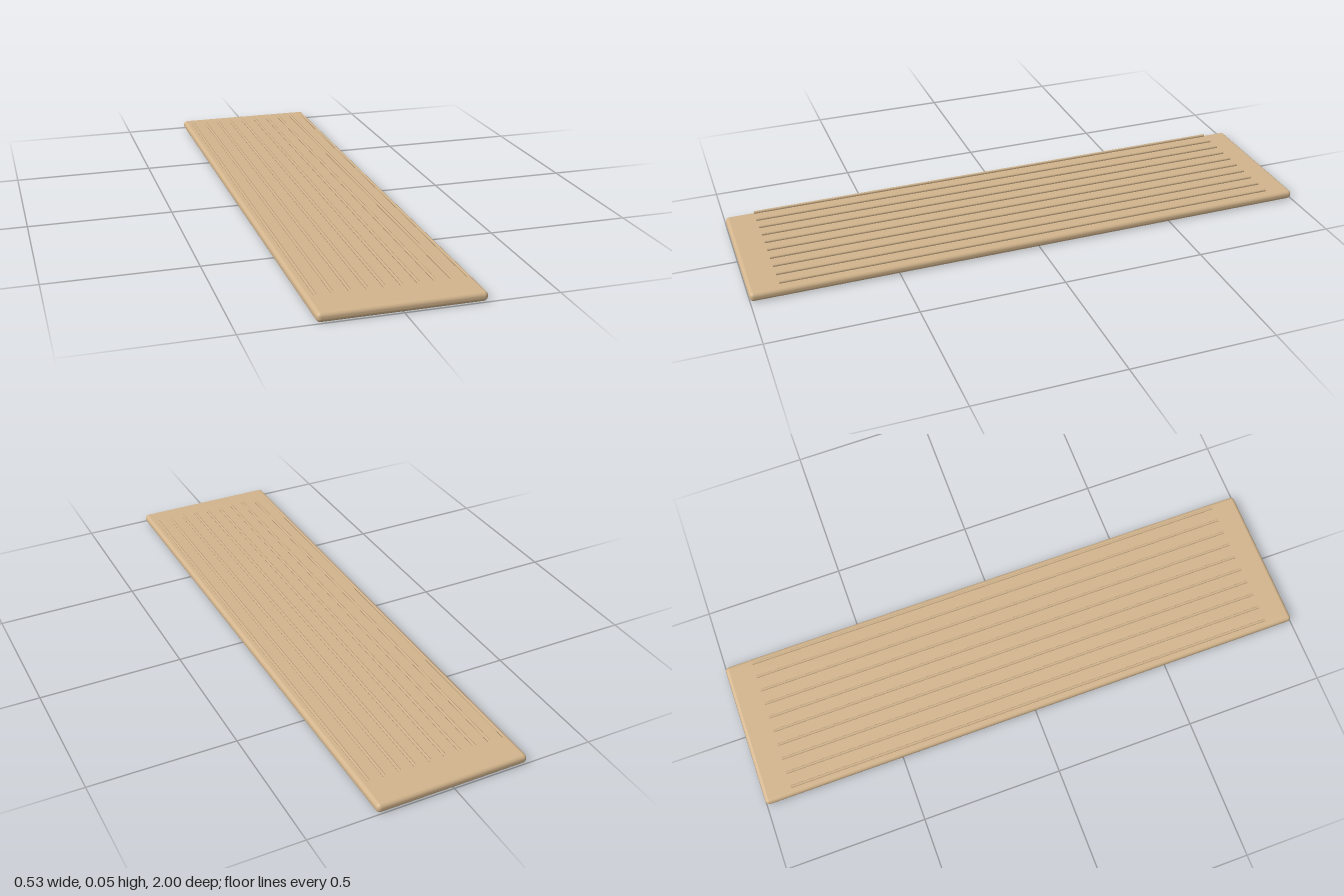
import * as THREE from 'three';
import { RoundedBoxGeometry } from 'three/addons/geometries/RoundedBoxGeometry.js';

export function createModel() {
  const group = new THREE.Group();
  const wood = new THREE.MeshStandardMaterial({ color: 0xd2b48c });
  wood.name = 'tan wood';

  // Flat board with rounded edges
  const board = new THREE.Mesh(new RoundedBoxGeometry(0.532, 0.032, 2, 4, 0.014), wood);
  board.name = 'board';
  board.position.y = 0.016;
  group.add(board);

  // Ten thin hollow strings running lengthwise just above the board
  const count = 10;
  const spacing = 0.0535;
  const stringGeometry = new THREE.CylinderGeometry(0.005, 0.005, 1.8, 8, 1, true);
  stringGeometry.rotateX(Math.PI / 2);
  const strings = new THREE.Group();
  strings.name = 'strings';
  for (let i = 0; i < count; i++) {
    const string = new THREE.Mesh(stringGeometry, wood);
    string.name = `string${i + 1}`;
    string.position.set((i - (count - 1) / 2) * spacing, 0.043, 0);
    strings.add(string);
  }
  group.add(strings);
  return group;
}
